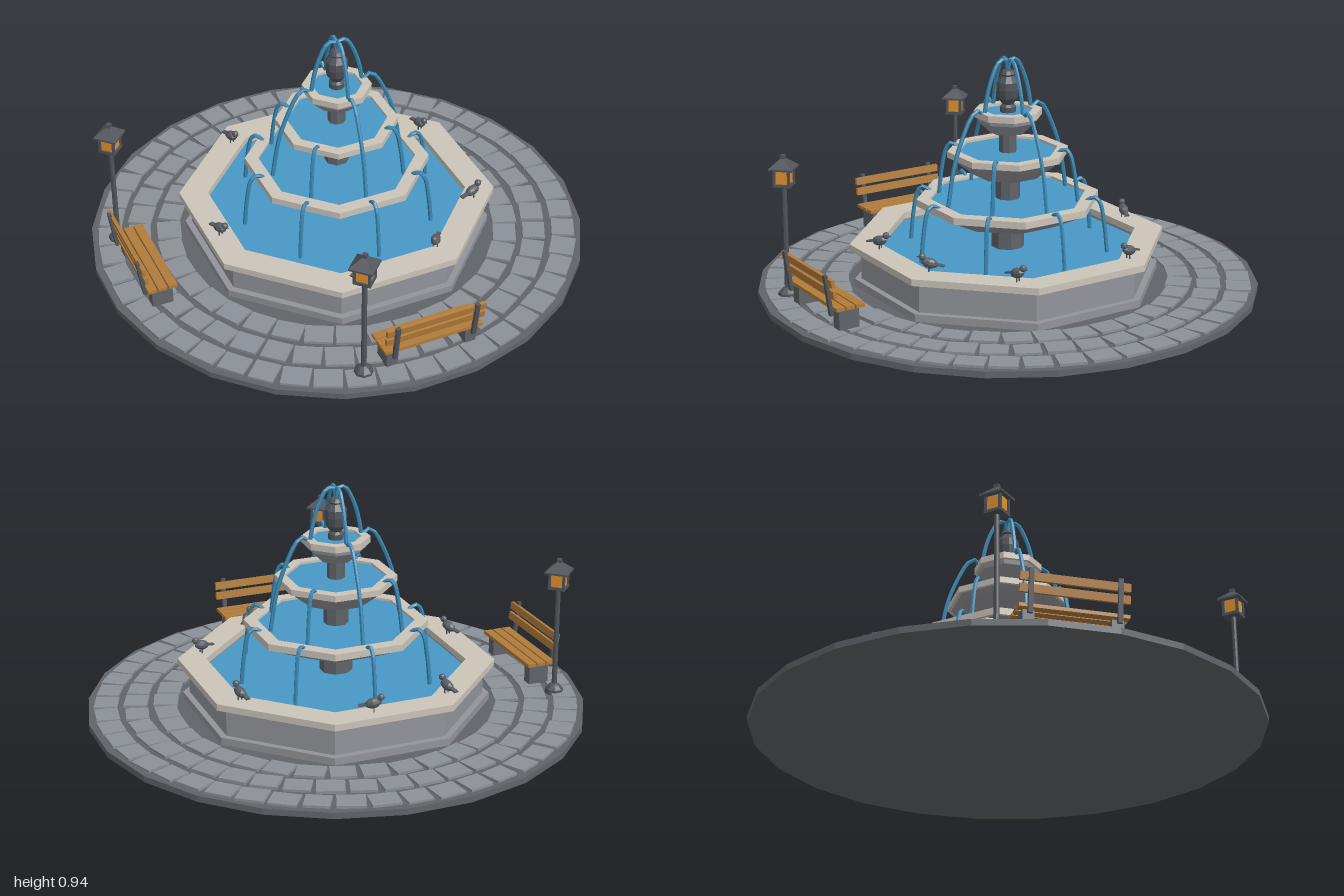
import * as THREE from 'three';

const material = (name, color) => {
  const m = new THREE.MeshStandardMaterial({ color });
  m.name = name;
  return m;
};
const M = {
  slab: material('dark stone', 0x606469),
  paving: material('paving stone', 0x8c9197),
  wall: material('grey stone', 0x93949a),
  trim: material('pale stone', 0xcbc4b9),
  water: material('water', 0x4798c6),
  stream: material('falling water', 0x3a88b3),
  iron: material('iron', 0x50555b),
  wood: material('wood', 0xb27c3a),
  glass: material('lamp glass', 0xe2932f),
  feather: material('feathers', 0x5a5e64),
};

// Faceted normals
function flat(geo) {
  const g = geo.index ? geo.toNonIndexed() : geo;
  g.computeVertexNormals();
  return g;
}

function add(parent, name, geo, mat, x = 0, y = 0, z = 0) {
  const mesh = new THREE.Mesh(flat(geo), mat);
  mesh.name = name;
  mesh.position.set(x, y, z);
  parent.add(mesh);
  return mesh;
}

function group(parent, name) {
  const g = new THREE.Group();
  g.name = name;
  parent.add(g);
  return g;
}

// Regular prism turned from a profile whose radii are measured to the flat sides
function turned(profile, sides = 8) {
  const k = 1 / Math.cos(Math.PI / sides);
  const pts = profile.map(([r, y]) => new THREE.Vector2(r * k, y));
  return new THREE.LatheGeometry(pts, sides, Math.PI / sides);
}
const ring = (inner, outer, y0, y1) =>
  turned([[inner, y0], [outer, y0], [outer, y1], [inner, y1], [inner, y0]]);
const box = (w, h, d) => new THREE.BoxGeometry(w, h, d);

function buildPlaza(root) {
  const plaza = group(root, 'plaza');
  add(plaza, 'slab', turned([[0, 0], [1, 0], [1, 0.025], [0, 0.025]], 24), M.slab);
  let seed = 7;
  const jitter = () => {
    seed = (seed * 16807) % 2147483647;
    return seed / 2147483647 - 0.5;
  };
  // Three rings of slightly uneven paving stones
  for (const [radius, count] of [[0.93, 48], [0.81, 42], [0.69, 36]]) {
    for (let i = 0; i < count; i++) {
      const a = ((i + 0.5) / count) * Math.PI * 2;
      const geo = box(0.106 + jitter() * 0.014, 0.018, 0.094 + jitter() * 0.01);
      const stone = add(plaza, 'pavingStone', geo, M.paving,
        Math.sin(a) * radius, 0.026 + jitter() * 0.003, Math.cos(a) * radius);
      stone.rotation.y = a + jitter() * 0.16;
    }
  }
}

function buildBasin(root) {
  const basin = group(root, 'basin');
  add(basin, 'plinth', ring(0.48, 0.575, 0.02, 0.055), M.wall);
  add(basin, 'basinWall', ring(0.495, 0.55, 0.055, 0.175), M.wall);
  add(basin, 'basinRim', ring(0.485, 0.592, 0.175, 0.202), M.trim);
  add(basin, 'basinWater', turned([[0.5, 0.16], [0, 0.16]]), M.water);
}

function buildTiers(root) {
  // outer radius, inner radius, foot radius, foot y, rim bottom, rim top, column radius, column bottom
  const tiers = [
    [0.342, 0.292, 0.2, 0.275, 0.345, 0.373, 0.062, 0.15],
    [0.226, 0.186, 0.125, 0.462, 0.54, 0.565, 0.046, 0.35],
    [0.127, 0.093, 0.065, 0.635, 0.702, 0.728, 0.033, 0.54],
  ];
  tiers.forEach(([out, inn, foot, y0, y1, y2, col, colY]) => {
    const tier = group(root, 'tier');
    add(tier, 'column', turned([[col, colY], [col, y0]]), M.slab);
    add(tier, 'bowl', turned([[0, y0], [foot, y0], [out * 0.88, y1 - 0.018], [out - 0.012, y1]]), M.wall);
    add(tier, 'bowlRim', ring(inn, out, y1, y2), M.trim);
    add(tier, 'bowlWater', turned([[inn + 0.005, y2 - 0.01], [0, y2 - 0.01]]), M.water);
  });
  add(root, 'finial', turned([[0, 0.71], [0.03, 0.71], [0.03, 0.74], [0.022, 0.75], [0.038, 0.775],
    [0.044, 0.81], [0.042, 0.84], [0.026, 0.865], [0.03, 0.872], [0.022, 0.885], [0, 0.895]], 10), M.iron);
}

function buildStreams(root) {
  const streams = group(root, 'streams');
  const jets = (path, count, offset) => {
    const curve = new THREE.CatmullRomCurve3(path.map(([r, y]) => new THREE.Vector3(r, y, 0)));
    for (let i = 0; i < count; i++) {
      const jet = add(streams, 'stream', new THREE.TubeGeometry(curve, 14, 0.0085, 6), M.stream);
      jet.rotation.y = offset + (i / count) * Math.PI * 2;
    }
  };
  const d = Math.PI / 4;
  jets([[0, 0.885], [0.012, 0.93], [0.04, 0.925], [0.07, 0.875], [0.095, 0.8], [0.11, 0.715]], 4, d);
  jets([[0.115, 0.722], [0.14, 0.74], [0.165, 0.725], [0.215, 0.63], [0.25, 0.53], [0.28, 0.365]], 4, d);
  jets([[0.205, 0.56], [0.23, 0.577], [0.25, 0.56], [0.27, 0.48], [0.285, 0.362]], 4, 0);
  jets([[0.32, 0.368], [0.35, 0.386], [0.372, 0.37], [0.392, 0.28], [0.405, 0.158]], 8, 0);
}

// Bench built with its back towards +z, then turned to face the fountain
function buildBench(root, angle) {
  const pivot = group(root, 'bench');
  pivot.rotation.y = angle;
  for (const s of [-1, 1]) {
    add(pivot, 'benchLeg', box(0.045, 0.085, 0.085), M.slab, s * 0.165, 0.0725, 0.83);
    const post = add(pivot, 'backPost', box(0.018, 0.165, 0.014), M.iron, s * 0.165, 0.175, 0.905);
    post.rotation.x = 0.14;
  }
  for (let i = 0; i < 3; i++) {
    add(pivot, 'seatSlat', box(0.41, 0.014, 0.036), M.wood, 0, 0.124, 0.79 + i * 0.042);
  }
  [[0.186, 0.896], [0.23, 0.903]].forEach(([y, z]) => {
    const slat = add(pivot, 'backSlat', box(0.41, 0.031, 0.014), M.wood, 0, y, z);
    slat.rotation.x = 0.14;
  });
}

function buildLamp(root, x, z) {
  const lamp = group(root, 'lamp');
  lamp.position.set(x, 0, z);
  const foot = [[0, 0.025], [0.036, 0.025], [0.034, 0.045], [0.02, 0.06], [0.01, 0.066], [0.009, 0.49]];
  add(lamp, 'pole', turned(foot), M.iron);
  add(lamp, 'lanternBase', box(0.07, 0.012, 0.07), M.iron, 0, 0.488, 0);
  add(lamp, 'lanternGlass', box(0.056, 0.06, 0.056), M.glass, 0, 0.523, 0);
  for (const sx of [-1, 1]) {
    for (const sz of [-1, 1]) {
      add(lamp, 'lanternPost', box(0.01, 0.065, 0.01), M.iron, sx * 0.029, 0.522, sz * 0.029);
    }
  }
  add(lamp, 'lanternRoof', turned([[0, 0.55], [0.047, 0.55], [0.047, 0.558], [0.009, 0.592], [0.009, 0.607], [0, 0.607]], 4), M.iron);
}

// Pigeon facing +x before it is turned
function buildBird(root, x, z, dx, dz) {
  const bird = group(root, 'bird');
  bird.position.set(x, 0.202, z);
  bird.rotation.y = Math.atan2(-dz, dx);
  const body = add(bird, 'birdBody', new THREE.SphereGeometry(1, 8, 6), M.feather, 0, 0.034, 0);
  body.scale.set(0.034, 0.02, 0.02);
  body.rotation.z = 0.25;
  add(bird, 'birdHead', new THREE.SphereGeometry(0.014, 8, 6), M.feather, 0.029, 0.058, 0);
  const beak = add(bird, 'birdBeak', new THREE.ConeGeometry(0.005, 0.014, 5), M.iron, 0.046, 0.057, 0);
  beak.rotation.z = -Math.PI / 2;
  const tail = add(bird, 'birdTail', box(0.035, 0.006, 0.018), M.feather, -0.04, 0.027, 0);
  tail.rotation.z = 0.2;
  for (const s of [-1, 1]) {
    add(bird, 'birdLeg', box(0.004, 0.022, 0.004), M.iron, 0.003, 0.01, s * 0.008);
  }
}

export function createModel() {
  const root = new THREE.Group();
  root.name = 'fountainPlaza';
  buildPlaza(root);
  buildBasin(root);
  buildTiers(root);
  buildStreams(root);
  for (const s of [-1, 1]) buildBench(root, (s * Math.PI) / 4);
  buildLamp(root, -0.8, 0.41);
  buildLamp(root, 0.41, 0.8);
  const birds = [
    [0.18, -0.52, 0.8, 0.5], [-0.33, -0.42, -0.9, 0.4], [-0.53, -0.15, 0.85, 0.5], [0.53, -0.15, 0.5, -0.85],
    [0.49, 0.2, 0.1, 1], [-0.33, 0.43, 0.9, 0.4], [0.27, 0.46, 0.25, -0.95],
  ];
  birds.forEach((b) => buildBird(root, ...b));
  return root;
}
